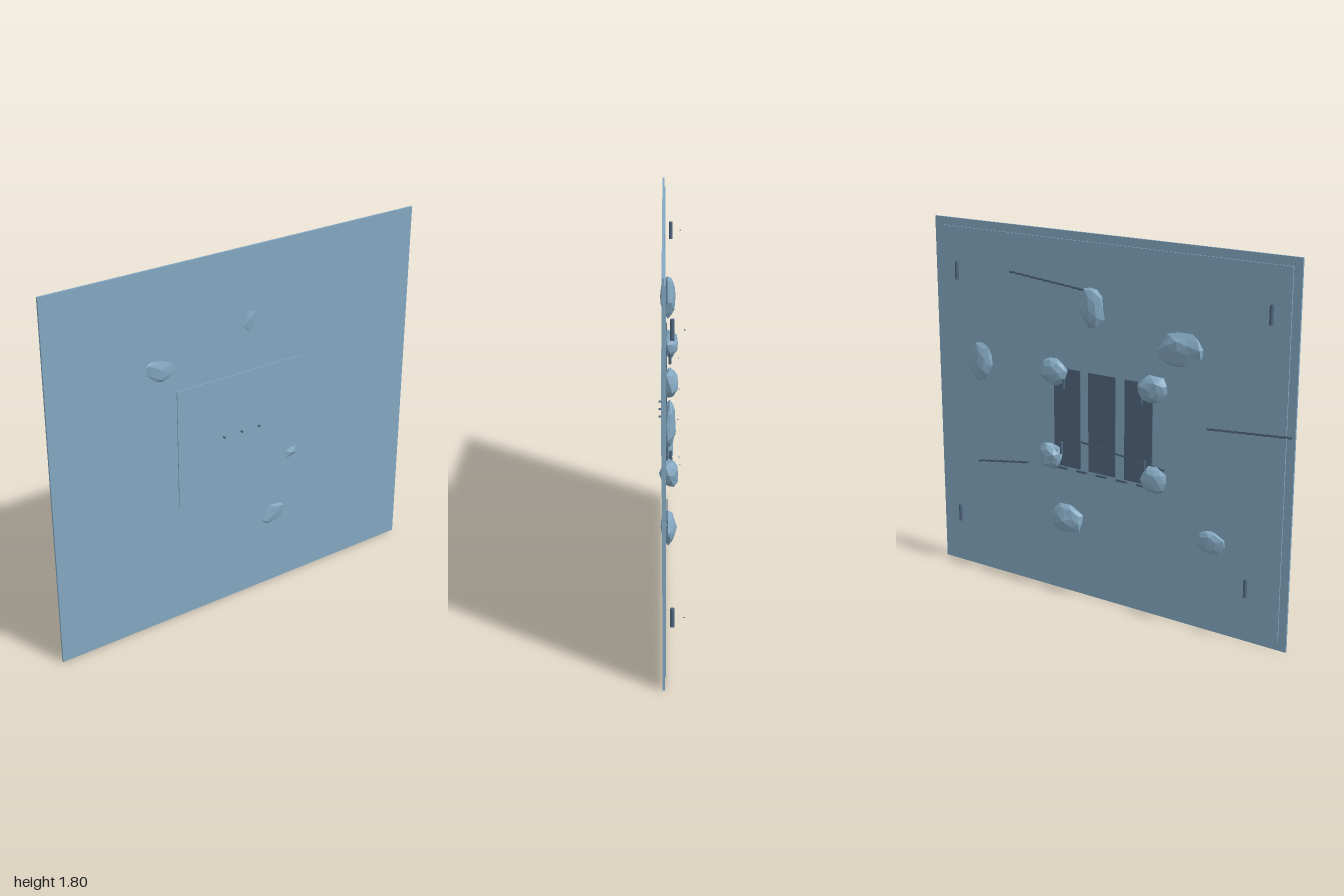
import * as THREE from 'three';

export function createModel() {
  const group = new THREE.Group();
  const mat = (name, color, flatShading = false) => {
    const m = new THREE.MeshStandardMaterial({ color, flatShading });
    m.name = name;
    return m;
  };
  const blue = mat('dusty blue', 0x84a8c1, true);
  const dark = mat('dark slate', 0x4f667e);

  const add = (name, geometry, material, x, y, z) => {
    const mesh = new THREE.Mesh(geometry, material);
    mesh.name = name;
    mesh.position.set(x, y, z);
    group.add(mesh);
    return mesh;
  };
  const box = (name, w, h, d, material, x, y, z) =>
    add(name, new THREE.BoxGeometry(w, h, d), material, x, y, z);

  // wall sheet, inset backing and raised front door
  box('wallSheet', 2, 1.8, 0.01, blue, 0, 0.9, 0.031);
  box('wallBacking', 1.92, 1.72, 0.006, blue, 0, 0.9, 0.023);
  box('frontPanel', 0.7, 0.6, 0.005, blue, 0, 0.9, 0.0385);

  // small studs across the front panel
  for (const x of [-0.1, 0, 0.1]) {
    const stud = add('frontStud', new THREE.CylinderGeometry(0.005, 0.005, 0.014, 8), dark, x, 0.9, 0.047);
    stud.rotation.x = Math.PI / 2;
  }

  // dark upright slats behind, with a row of short sills below
  for (const x of [-0.205, 0, 0.2]) box('backSlat', 0.153, 0.49, 0.006, dark, x, 0.9, 0.017);
  for (let i = -2; i <= 2; i++) box('sill', 0.06, 0.01, 0.012, dark, i * 0.115, 0.645, 0.014);

  // faceted rocks: icosahedra with every corner moved in or out by a hash
  const hash = (n) => {
    const s = Math.sin(n * 127.1) * 43758.5453;
    return s - Math.floor(s);
  };
  const rocks = [ // x, y, z, half width, half height, half depth, tilt
    [0.72, 1.105, 0.004, 0.075, 0.105, 0.026, 0.15],
    [0.05, 1.455, 0.010, 0.068, 0.105, 0.033, -0.1],
    [-0.43, 1.33, 0.010, 0.12, 0.08, 0.039, -0.12],
    [0.27, 1.12, 0.004, 0.078, 0.072, 0.042, 0.3],
    [-0.29, 1.13, 0.000, 0.078, 0.072, 0.040, -0.3],
    [0.295, 0.70, 0.006, 0.075, 0.07, 0.044, 0.2],
    [-0.30, 0.69, 0.000, 0.075, 0.072, 0.034, 0.5],
    [0.20, 0.385, 0.010, 0.1, 0.08, 0.04, 0.1],
    [-0.605, 0.45, 0.010, 0.08, 0.062, 0.03, 0.15],
  ];
  rocks.forEach(([x, y, z, w, h, d, tilt], i) => {
    const geo = new THREE.IcosahedronGeometry(1, 1);
    const p = geo.attributes.position;
    const v = new THREE.Vector3();
    for (let k = 0; k < p.count; k++) {
      v.fromBufferAttribute(p, k);
      const id = Math.round(v.x * 50) + Math.round(v.y * 50) * 3.7 + Math.round(v.z * 50) * 9.3;
      v.multiplyScalar(0.83 + 0.25 * hash(id + i * 17));
      p.setXYZ(k, v.x * w, v.y * h, v.z * d);
    }
    geo.computeVertexNormals();
    add('rock', geo, blue, x, y, z).rotation.z = tilt;
  });

  // upright pegs with a tiny pin behind each: corners, then around the slats
  const pegs = [ // x, y, z, radius, length, pin z
    [0.845, 1.55, -0.006, 0.009, 0.088, -0.055],
    [-0.88, 1.55, -0.006, 0.009, 0.088, -0.055],
    [0.87, 0.278, -0.006, 0.009, 0.088, -0.055],
    [-0.8, 0.278, -0.006, 0.009, 0.088, -0.055],
    [0.21, 1.075, 0.0, 0.007, 0.06, -0.04],
    [-0.23, 1.075, 0.0, 0.007, 0.06, -0.04],
    [0.225, 0.75, 0.0, 0.007, 0.06, -0.04],
    [-0.25, 0.75, 0.0, 0.007, 0.06, -0.04],
  ];
  for (const [x, y, z, r, len, pinZ] of pegs) {
    add('peg', new THREE.CylinderGeometry(r, r, len, 10), dark, x, y, z);
    add('pegPin', new THREE.SphereGeometry(0.003, 6, 4), dark, x, y, pinZ);
  }

  // thin beaded seams across the back
  const seams = [ // start x, y, end x, y
    [0.535, 1.575, 0.09, 1.535],
    [0.755, 0.58, 0.44, 0.63],
    [-0.57, 0.985, -0.99, 1.02],
    [0.155, 0.80, -0.35, 0.745],
  ];
  for (const [x0, y0, x1, y1] of seams) {
    const len = Math.hypot(x1 - x0, y1 - y0);
    const n = Math.round(len / 0.02);
    for (let i = 0; i < n; i++) {
      const t = (i + 0.5) / n;
      const link = box('seamLink', len / n, 0.009, 0.006, dark,
        x0 + (x1 - x0) * t, y0 + (y1 - y0) * t + (i % 2 ? 0.001 : -0.001), 0.0155);
      link.rotation.z = Math.atan2(y1 - y0, x1 - x0);
    }
  }
  return group;
}
